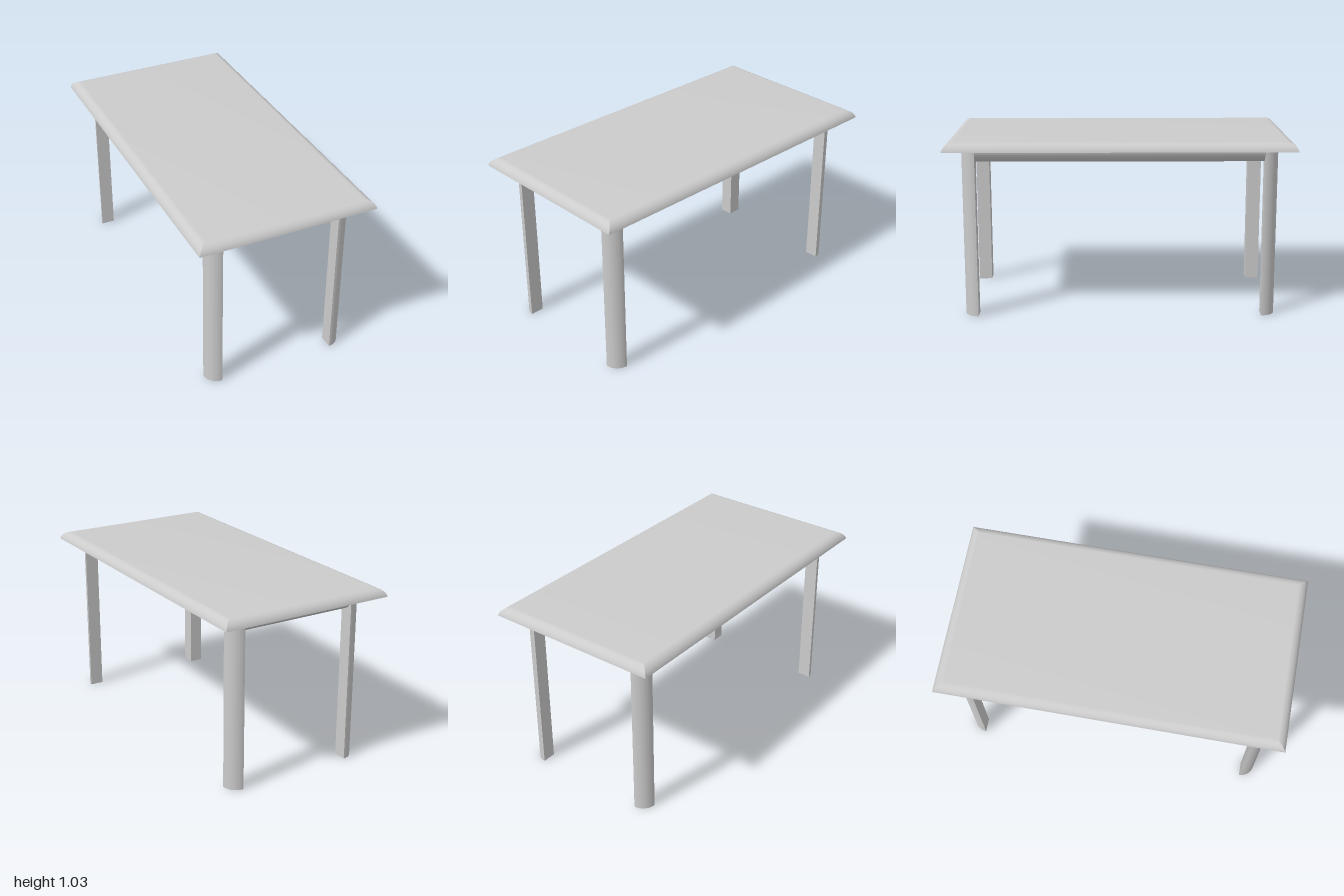
import * as THREE from 'three';
import { toCreasedNormals } from 'three/addons/utils/BufferGeometryUtils.js';

const material = new THREE.MeshStandardMaterial({ color: 0xcccccc });

const RADIUS = 0.081;            // quarter-round radius of legs and aprons
const INNER_X = 0.347, INNER_Z = 0.826; // inner corner of each leg
const UNDERSIDE = 0.986, TOP = 1.035;
const HALF_X = 0.524, HALF_Z = 1;

// Quarter-round bar with its square corner on the z axis
function quarterRound(length) {
  const shape = new THREE.Shape();
  shape.moveTo(0, 0);
  shape.lineTo(RADIUS, 0);
  shape.absarc(0, 0, RADIUS, 0, Math.PI / 2, false);
  shape.lineTo(0, 0);
  const geo = new THREE.ExtrudeGeometry(shape, { depth: length, bevelEnabled: false, curveSegments: 20 });
  return toCreasedNormals(geo, Math.PI / 6);
}

// Rectangular slab with an arched edge, mitred at the corners
function tabletopGeometry() {
  const steps = 12, height = TOP - UNDERSIDE, edge = 0.06;
  const sweep = 2 * Math.atan(height / edge);
  const r = edge / Math.sin(sweep);
  const corners = [[1, 1], [1, -1], [-1, -1], [-1, 1]];
  const positions = [], index = [];
  for (let i = 0; i <= steps; i++) {
    const a = sweep * (1 - i / steps);
    const inset = edge - r * Math.sin(a);
    const y = TOP - r * (1 - Math.cos(a));
    for (const [sx, sz] of corners) positions.push(sx * (HALF_X - inset), y, sz * (HALF_Z - inset));
  }
  for (let i = 0; i < steps; i++) {
    for (let k = 0; k < 4; k++) {
      const a = i * 4 + k, b = i * 4 + (k + 1) % 4;
      index.push(a, b, b + 4, a, b + 4, a + 4);
    }
  }
  const t = steps * 4;
  index.push(t, t + 1, t + 2, t, t + 2, t + 3); // upper face
  index.push(0, 2, 1, 0, 3, 2);                 // underside
  const geo = new THREE.BufferGeometry();
  geo.setAttribute('position', new THREE.Float32BufferAttribute(positions, 3));
  geo.setIndex(index);
  return toCreasedNormals(geo, Math.PI / 12);
}

export function createModel() {
  const table = new THREE.Group();
  table.name = 'table';
  const add = (name, geo, x, y, z, turn = 0) => {
    const mesh = new THREE.Mesh(geo, material);
    mesh.name = name;
    mesh.position.set(x, y, z);
    mesh.rotation.y = turn * Math.PI / 2;
    table.add(mesh);
  };

  add('tabletop', tabletopGeometry(), 0, 0, 0);

  // Legs, rounded side facing outward at each corner
  const legGeo = quarterRound(UNDERSIDE).rotateX(-Math.PI / 2);
  const legs = [['backLeftLeg', 1, -1], ['backRightLeg', -1, -1], ['frontRightLeg', -1, 1], ['frontLeftLeg', 1, 1]];
  legs.forEach(([name, sx, sz], k) => add(name, legGeo, sx * INNER_X, 0, sz * INNER_Z, k));

  // Aprons between the legs, rounded outward and down
  const apron = (half) => quarterRound(2 * half).translate(0, 0, -half).rotateZ(-Math.PI / 2);
  const longApron = apron(INNER_Z), shortApron = apron(INNER_X);
  add('leftApron', longApron, INNER_X, UNDERSIDE, 0, 0);
  add('backApron', shortApron, 0, UNDERSIDE, -INNER_Z, 1);
  add('rightApron', longApron, -INNER_X, UNDERSIDE, 0, 2);
  add('frontApron', shortApron, 0, UNDERSIDE, INNER_Z, 3);

  return table;
}
